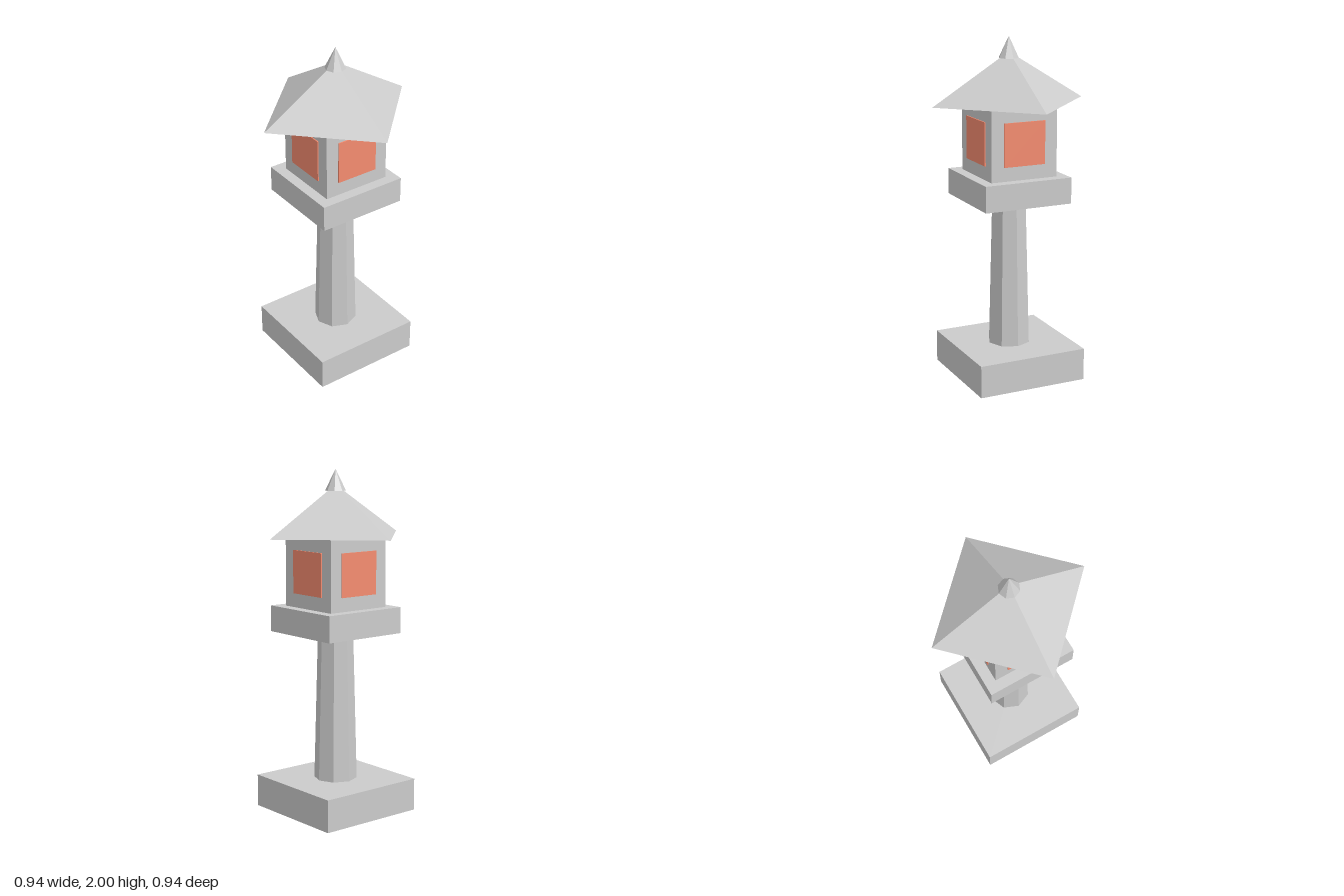
import * as THREE from 'three';

const grey = new THREE.MeshStandardMaterial({ color: 0xcccccc, flatShading: true });
const orange = new THREE.MeshStandardMaterial({ color: 0xf58c70, flatShading: true });

export function createModel() {
  const group = new THREE.Group();

  function add(name, geometry, y, material = grey) {
    const mesh = new THREE.Mesh(geometry, material);
    mesh.name = name;
    mesh.position.y = y;
    group.add(mesh);
    return mesh;
  }

  // Square block standing between two heights
  const block = (name, width, y0, y1) =>
    add(name, new THREE.BoxGeometry(width, y1 - y0, width), (y0 + y1) / 2);

  // Faceted, tapering part between two heights
  const taper = (name, rTop, rBottom, y0, y1, sides) =>
    add(name, new THREE.CylinderGeometry(rTop, rBottom, y1 - y0, sides), (y0 + y1) / 2);

  block('base', 0.66, 0, 0.19);
  taper('post', 0.103, 0.126, 0.19, 1.06, 8);
  block('platform', 0.533, 1.06, 1.212);
  block('lightChamber', 0.407, 1.212, 1.625);

  // One glowing pane on each side of the chamber
  for (let i = 0; i < 4; i++) {
    const a = i * Math.PI / 2;
    const pane = add('windowPane', new THREE.BoxGeometry(0.253, 0.25, 0.014), 1.418, orange);
    pane.position.x = Math.sin(a) * 0.203;
    pane.position.z = Math.cos(a) * 0.203;
    pane.rotation.y = a;
  }

  // Pyramid roof, its corners over the middles of the sides
  add('roof', new THREE.ConeGeometry(0.47, 0.287, 4), 1.625 + 0.287 / 2);
  add('finial', new THREE.ConeGeometry(0.06, 0.123, 8), 1.877 + 0.123 / 2);

  return group;
}
